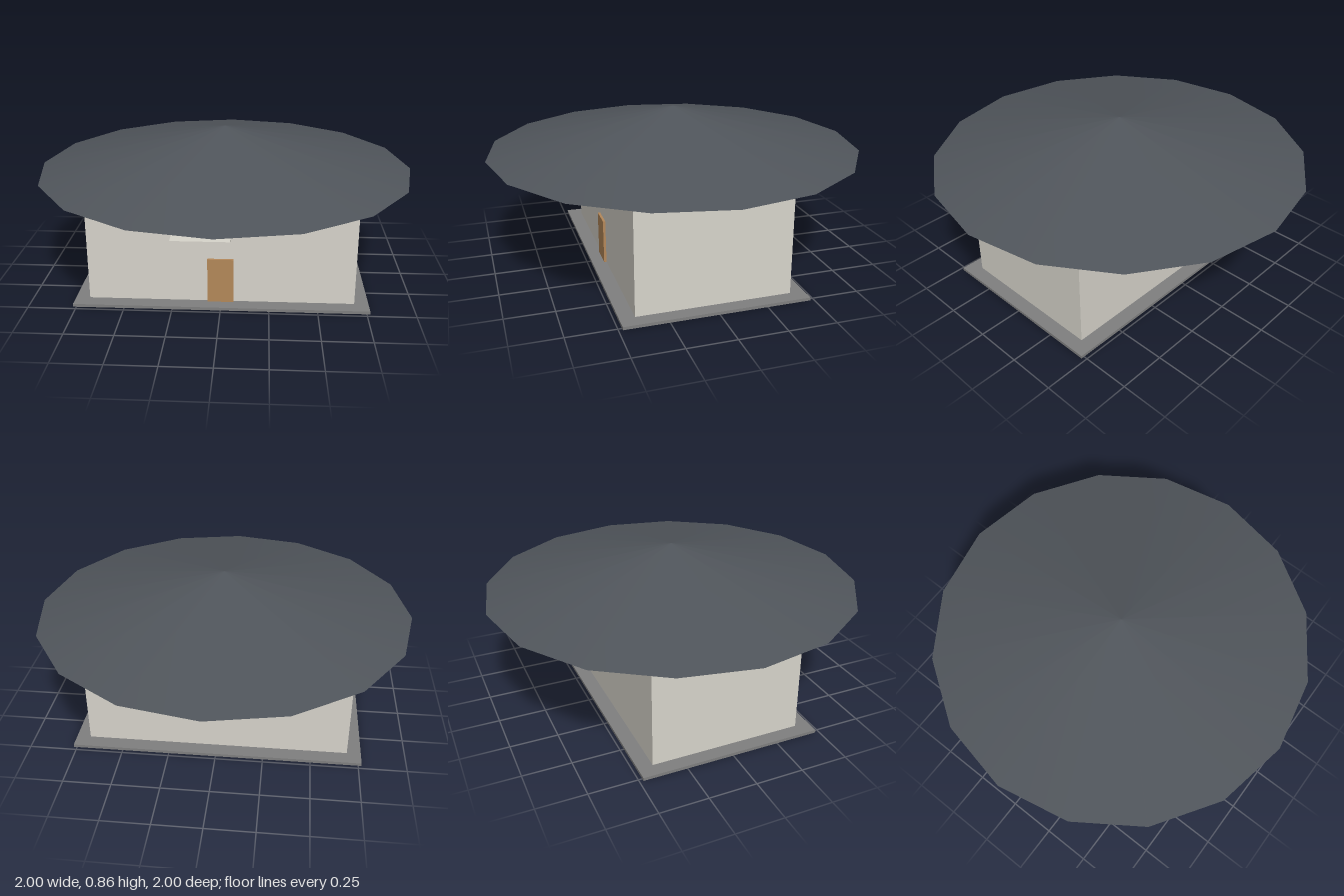
import * as THREE from 'three';

export function createModel() {
  const house = new THREE.Group();
  house.name = 'house';

  const add = (name, geometry, color, x, y, z) => {
    const mesh = new THREE.Mesh(geometry, new THREE.MeshStandardMaterial({ color }));
    mesh.name = name;
    mesh.position.set(x, y, z);
    house.add(mesh);
  };

  // Box given by its minimum and maximum corners
  const addBox = (name, color, [x0, y0, z0], [x1, y1, z1]) =>
    add(name, new THREE.BoxGeometry(x1 - x0, y1 - y0, z1 - z0), color,
      (x0 + x1) / 2, (y0 + y1) / 2, (z0 + z1) / 2);

  // Ground slab and walls
  addBox('foundation', 0x808080, [-0.767, 0, -0.48], [0.767, 0.016, 0.48]);
  addBox('walls', 0xd8d5cc, [-0.693, 0.016, -0.403], [0.693, 0.63, 0.403]);

  // Front door, ledge and upper window pane
  addBox('door', 0xb5895a, [-0.07, 0.016, 0.403], [0.065, 0.257, 0.416]);
  addBox('ledge', 0xd8d5cc, [-0.253, 0.378, 0.415], [0.05, 0.39, 0.49]);
  addBox('windowPane', 0x808690, [-0.24, 0.486, 0.483], [0.065, 0.56, 0.487]);

  // Wide sixteen-sided roof
  add('roof', new THREE.ConeGeometry(1, 0.225, 16), 0x50555b, 0, 0.7425, 0);

  return house;
}
